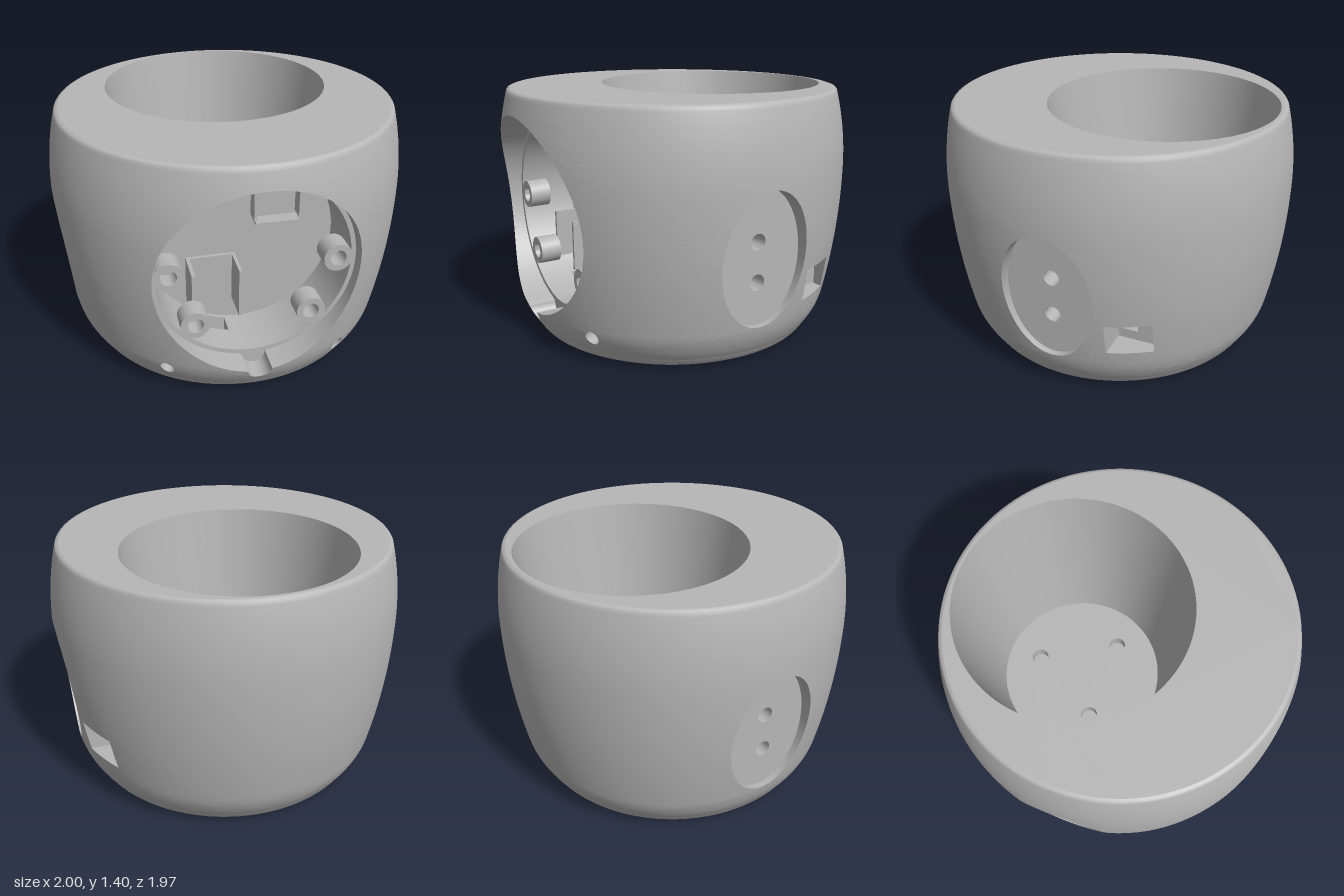
import * as THREE from 'three';
import { mergeVertices, toCreasedNormals } from 'three/addons/utils/BufferGeometryUtils.js';

const V2 = (x, y) => new THREE.Vector2(x, y);
const V3 = (x, y, z) => new THREE.Vector3(x, y, z);
const Z0 = 0.018; // axis of the barrel body

// Barrel radius by height, and the point on the barrel at an angle and height
function radius(y) {
  const bulge = (y > 0.96 ? 0.31 : 0.146) * (y - 0.96) ** 2;
  const tuck = y < 0.22 ? 1.5 * (0.22 - y) ** 2 : 0;
  return 1 - bulge - tuck;
}
const barrel = (p) => V3(radius(p.y) * Math.sin(p.x), p.y, Z0 + radius(p.y) * Math.cos(p.x));

// Closed 2D loops
function arc(cx, cy, rx, ry, from, to, n) {
  return Array.from({ length: n }, (_, i) => {
    const a = from + (to - from) * i / n;
    return V2(cx + rx * Math.cos(a), cy + ry * Math.sin(a));
  });
}
const ellipse = (cx, cy, rx, ry = rx, n = 48) => arc(cx, cy, rx, ry, 0, 2 * Math.PI, n);
function rect(x0, x1, y0, y1, n = 1) {
  const c = [V2(x0, y0), V2(x1, y0), V2(x1, y1), V2(x0, y1)];
  return c.flatMap((p, i) => Array.from({ length: n }, (_, k) => p.clone().lerp(c[(i + 1) % 4], k / n)));
}

export function createModel() {
  const model = new THREE.Group();
  model.name = 'holder';
  const grey = new THREE.MeshStandardMaterial({ color: 0xb6b6b6, side: THREE.DoubleSide });
  grey.name = 'grey plastic';

  function add(name, geometry, parent = model) {
    const mesh = new THREE.Mesh(geometry, grey);
    mesh.name = name;
    parent.add(mesh);
    return mesh;
  }

  function fromTriangles(points) {
    return new THREE.BufferGeometry().setFromPoints(points);
  }

  // Flat 2D outline with holes, divided until edges are short, then mapped to 3D
  function patch(name, contour, holes, map, maxEdge = Infinity) {
    const flat = [contour, ...holes].flat();
    const out = [];
    const split = (a, b, c) => {
      const d = [a.distanceTo(b), b.distanceTo(c), c.distanceTo(a)];
      const longest = Math.max(...d);
      if (longest <= maxEdge) return out.push(map(a), map(b), map(c));
      const k = d.indexOf(longest);
      const [p, q, r] = [[a, b, c], [b, c, a], [c, a, b]][k];
      const m = p.clone().add(q).multiplyScalar(0.5);
      split(p, m, r);
      split(m, q, r);
    };
    for (const [i, j, k] of THREE.ShapeUtils.triangulateShape(contour, holes)) split(flat[i], flat[j], flat[k]);
    const geometry = mergeVertices(fromTriangles(out));
    geometry.computeVertexNormals();
    return add(name, geometry);
  }

  // Wall between two mapped copies of a loop
  function wall(name, loop, from, to) {
    const out = [];
    loop.forEach((p, i) => {
      const q = loop[(i + 1) % loop.length];
      out.push(from(p), to(p), to(q), from(p), to(q), from(q));
    });
    return add(name, toCreasedNormals(fromTriangles(out), 0.6));
  }

  // Sunken pocket: wall plus floor, the floor may have holes
  function recess(name, loop, from, to, holes = []) {
    wall(name + 'Wall', loop, from, to);
    patch(name + 'Floor', loop, holes, to);
  }

  const planeX = (x) => (p) => V3(x, p.y, p.x);
  const planeY = (y) => (p) => V3(p.x, y, p.y);
  const planeZ = (z) => (p) => V3(p.x, p.y, z);
  const shellHoles = [];

  // Front opening with a key notch at its foot, and a ledge for a lid
  const cy = 0.73, ledgeZ = 0.77, backZ = 0.45, cavityR = 0.525;
  const frontAngle = (p) => V2(Math.asin(p.x / radius(p.y)), p.y);
  const opening = [
    ...arc(0, cy, 0.55, 0.55, -Math.PI / 2 + 0.118, 1.5 * Math.PI - 0.118, 96),
    ...arc(0, 0.18, 0.065, 0.065, Math.PI + 0.06, 2 * Math.PI - 0.06, 16),
  ];
  shellHoles.push(opening.map(frontAngle));
  recess('lidSeat', opening, (p) => barrel(frontAngle(p)), planeZ(ledgeZ), [ellipse(0, cy, cavityR, cavityR, 96)]);

  // Cavity behind the opening, with a cable slot through its floor
  const slot = rect(-0.24, -0.1, 0.47, 0.59, 3);
  patch('cavityWall', rect(0, 2 * Math.PI, backZ, ledgeZ),
    [slot.map((p) => V2(2 * Math.PI - Math.acos(p.x / cavityR), p.y))],
    (p) => V3(cavityR * Math.cos(p.x), cy + cavityR * Math.sin(p.x), p.y), 0.08);
  patch('cavityBack', ellipse(0, cy, cavityR, cavityR, 96), [], planeZ(backZ));
  wall('cableSlot', slot, (p) => V3(p.x, cy - Math.sqrt(cavityR ** 2 - p.x ** 2), p.y), planeY(0.14));

  // Bottom face with its connector pocket
  const pocket = rect(-0.305, -0.035, 0.34, 0.62);
  patch('bottom', ellipse(0, Z0, 0.76, 0.76, 128), [pocket], planeY(0));
  recess('bottomPocket', pocket, planeY(0), planeY(0.14), [slot]);

  // Oval side recesses with two blind holes each
  for (const s of [1, -1]) {
    const side = s > 0 ? 'left' : 'right';
    const sideAngle = (p) => V2(s * Math.acos((p.x - Z0) / radius(p.y)), p.y);
    const oval = ellipse(0.023, 0.6, 0.26, 0.375, 72);
    const holes = [0.68, 0.46].map((y) => ellipse(0.025, y, 0.045, 0.045, 24));
    shellHoles.push(oval.map(sideAngle));
    recess(side + 'OvalRecess', oval, (p) => barrel(sideAngle(p)), planeX(s * 0.885), holes);
    for (const h of holes) recess(side + 'SensorHole', h, planeX(s * 0.885), planeX(s * 0.77));

    // Square socket with a smaller slot, on one side only
    if (s > 0) {
      const socket = rect(-0.505, -0.28, 0.3, 0.485, 5);
      const inner = rect(-0.39, -0.281, 0.355, 0.43);
      shellHoles.push(socket.map(sideAngle));
      recess('socket', socket, (p) => barrel(sideAngle(p)), planeX(0.72), [inner]);
      recess('socketSlot', inner, planeX(0.72), planeX(0.6));
    }

    // Small round holes low on the front
    const small = ellipse(s * 0.563, 0.165, 0.043, 0.042, 24);
    shellHoles.push(small);
    recess(side + 'ScrewHole', small, barrel, (p) => barrel(p).sub(V3(s * 0.08, -0.01, 0.13)));
  }

  // Outer shell with all its openings, and rounded top and bottom edges
  const y0 = 0.06, y1 = 1.37;
  patch('shell', rect(-Math.PI, Math.PI, y0, y1), shellHoles, barrel, 0.07);
  const edge = (name, points) => {
    add(name, new THREE.LatheGeometry(points.map(([r, y]) => V2(r, y)), 128)).position.z = Z0;
  };
  edge('bottomEdge', [[0.76, 0], [0.79, 0.006], [0.815, 0.02], [0.832, 0.04], [radius(y0), y0]]);
  edge('topEdge', [[radius(y1), y1], [0.944, 1.385], [0.937, 1.395], [0.922, 1.4]]);

  // Top face and the tapered cup well, set towards the back
  const wellZ = -0.244, floorY = 0.35, rTop = 0.645, rFloor = 0.497;
  const rim = ellipse(0, wellZ, rTop, rTop, 96);
  patch('top', ellipse(0, Z0, 0.922, 0.922, 128), [rim], planeY(1.4));
  const studs = [[0, -0.54], [0.256, -0.095], [-0.256, -0.095]].map(([x, z]) => ellipse(x, z, 0.052, 0.052, 24));
  const k = rFloor / rTop;
  wall('cupWall', rim, planeY(1.4), (p) => V3(p.x * k, floorY, wellZ + (p.y - wellZ) * k));
  patch('cupFloor', ellipse(0, wellZ, rFloor, rFloor, 96), studs, planeY(floorY));
  for (const h of studs) recess('cupFloorHole', h, planeY(floorY), planeY(floorY - 0.08));

  // Screw bosses around the opening
  const bossProfile = [[0, -0.12], [0.08, -0.12], [0.08, 0], [0.045, 0], [0.045, -0.1], [0, -0.1]];
  const boss = toCreasedNormals(new THREE.LatheGeometry(bossProfile.map(([r, y]) => V2(r, y)), 32), 0.6);
  boss.rotateX(Math.PI / 2);
  for (const s of [1, -1]) {
    for (const [x, y] of [[0.455, 0.73], [0.32, 0.41]]) add('screwBoss', boss).position.set(s * x, y, ledgeZ);
  }

  // Board brackets on the back of the cavity
  function box(name, x0, x1, yLow, yHigh, depth) {
    add(name, new THREE.BoxGeometry(x1 - x0, yHigh - yLow, depth))
      .position.set((x0 + x1) / 2, (yLow + yHigh) / 2, backZ + depth / 2);
  }
  box('lowerBracketSide', -0.315, -0.295, 0.36, 0.64, 0.2);
  box('lowerBracketSide', -0.055, -0.037, 0.35, 0.64, 0.2);
  box('lowerBracketBack', -0.295, -0.055, 0.365, 0.64, 0.02);
  for (const x of [0.053, 0.305]) box('upperBracketSide', x, x + 0.015, 0.87, 1.1, 0.08);
  for (const y of [0.838, 1.112]) box('upperBracketRail', 0.065, 0.307, y, y + 0.014, 0.08);

  return model;
}
